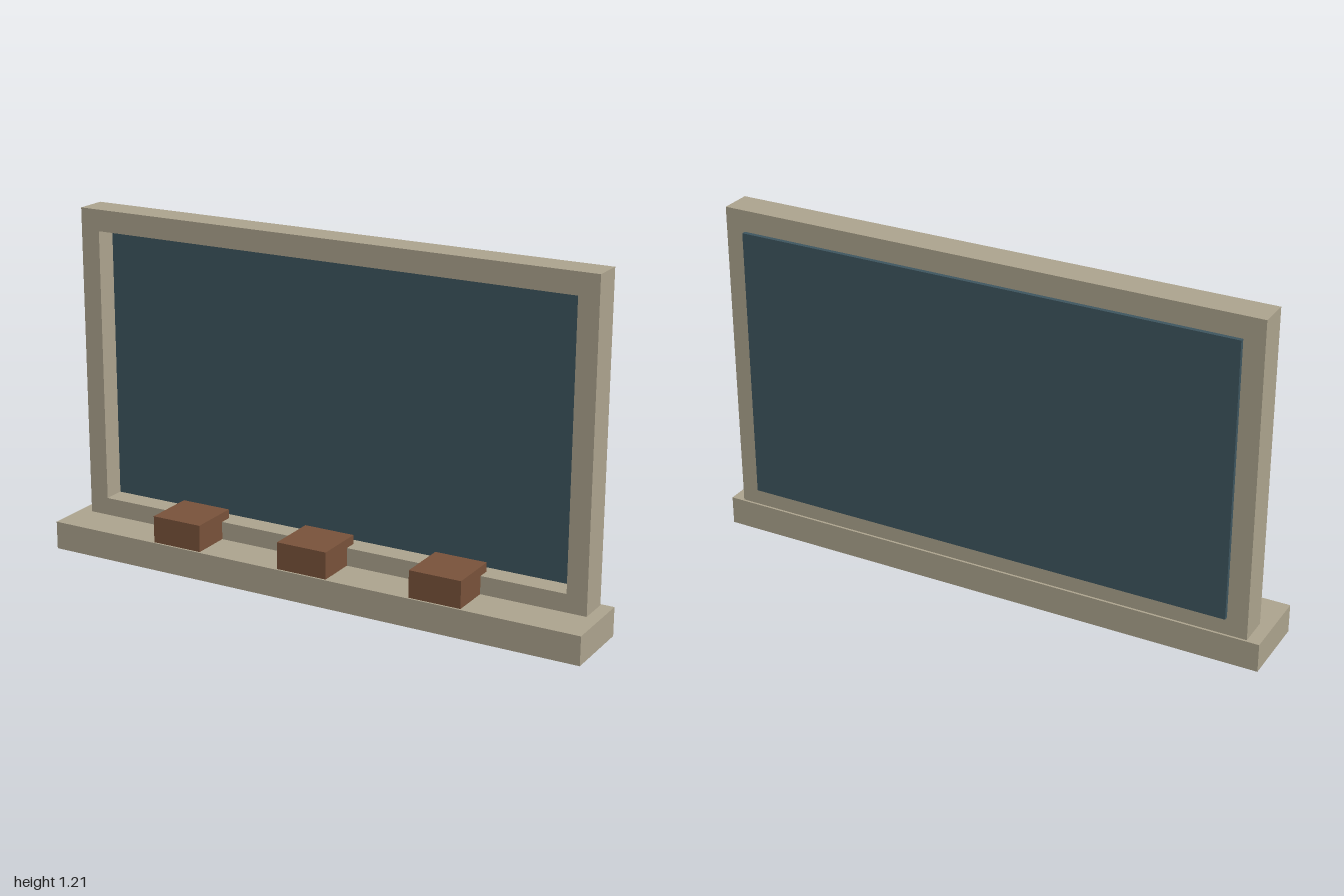
import * as THREE from 'three';

export function createModel() {
  const group = new THREE.Group();
  group.name = 'windowWithSill';

  const stone = new THREE.MeshStandardMaterial({ color: 0xaea58f });
  stone.name = 'stone';
  const glass = new THREE.MeshStandardMaterial({ color: 0x3e5660 });
  glass.name = 'darkGlass';
  const wood = new THREE.MeshStandardMaterial({ color: 0x7a533b });
  wood.name = 'brownWood';

  const add = (name, geometry, material) => {
    const mesh = new THREE.Mesh(geometry, material);
    mesh.name = name;
    group.add(mesh);
    return mesh;
  };

  // Box given by its lowest and highest corner
  const box = (name, [x0, y0, z0], [x1, y1, z1], material) =>
    add(name, new THREE.BoxGeometry(x1 - x0, y1 - y0, z1 - z0), material)
      .position.set((x0 + x1) / 2, (y0 + y1) / 2, (z0 + z1) / 2);

  const rect = (target, x, y0, y1) =>
    target.moveTo(-x, y0).lineTo(x, y0).lineTo(x, y1).lineTo(-x, y1).closePath();

  // Sill
  box('sill', [-1, 0, -0.13], [1, 0.1, 0.137], stone);

  // Frame with a rectangular opening
  const outline = rect(new THREE.Shape(), 0.955, 0.1, 1.205);
  outline.holes.push(rect(new THREE.Path(), 0.884, 0.163, 1.13));
  const frame = new THREE.ExtrudeGeometry(outline, { depth: 0.11, bevelEnabled: false });
  add('frame', frame, stone).position.z = -0.122;

  // Pane, set deep in the opening and standing proud of the back
  box('pane', [-0.884, 0.163, -0.137], [0.884, 1.13, -0.09], glass);

  // Blocks on the sill, reaching back over the lower rail
  for (const x of [-0.495, -0.002, 0.491]) {
    box('block', [x - 0.093, 0.1, -0.056], [x + 0.093, 0.195, 0.13], wood);
  }

  return group;
}
